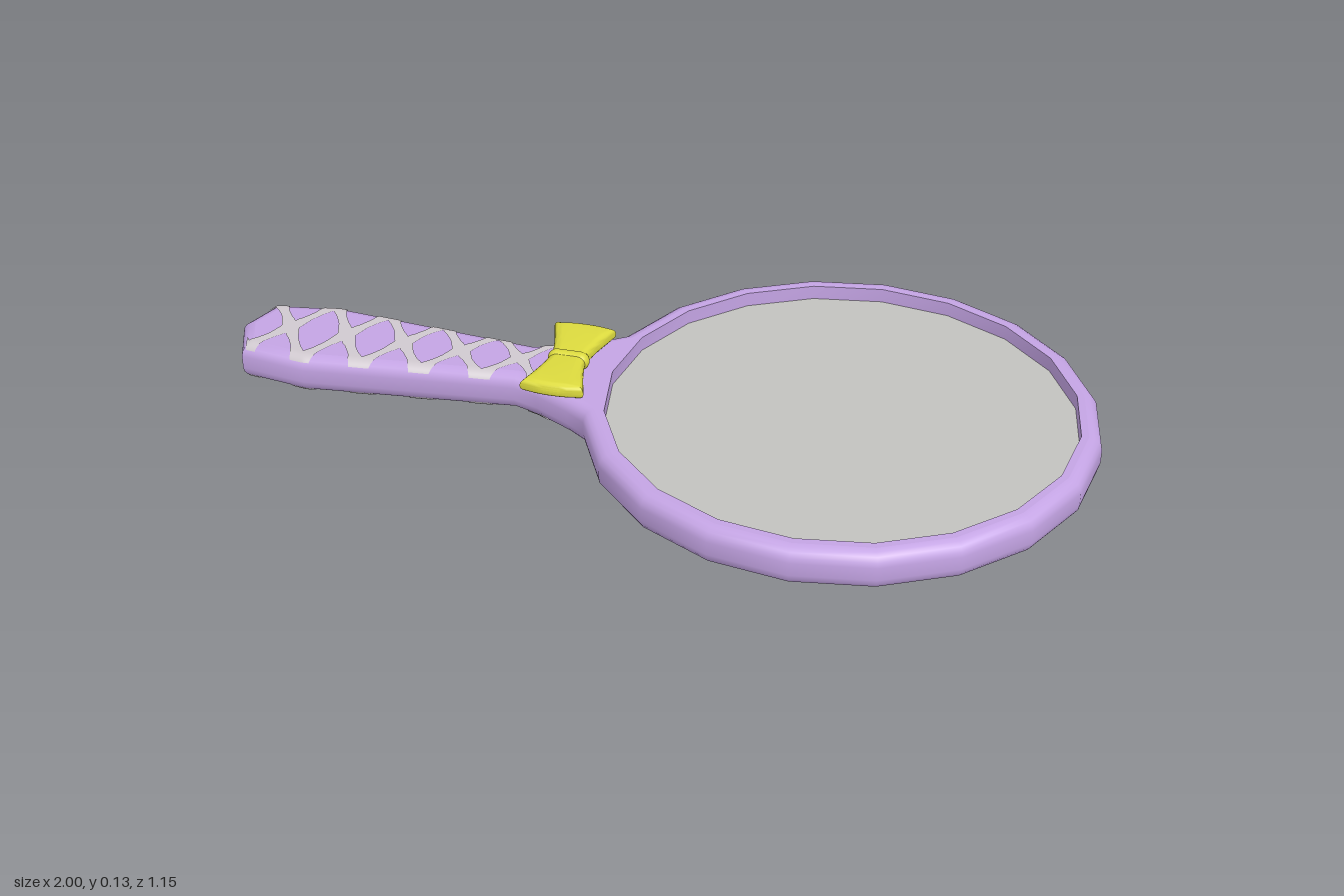
import * as THREE from 'three';
import { mergeGeometries, mergeVertices, toCreasedNormals } from 'three/addons/utils/BufferGeometryUtils.js';

const purple = new THREE.MeshStandardMaterial({ color: 0xc4a4e4 });
const silver = new THREE.MeshStandardMaterial({ color: 0xc2c2be });
const netGrey = new THREE.MeshStandardMaterial({ color: 0xd0c9cf, side: THREE.DoubleSide });
const yellow = new THREE.MeshStandardMaterial({ color: 0xdcda3e });
purple.name = 'purple'; silver.name = 'silver'; netGrey.name = 'net grey'; yellow.name = 'yellow';

const HEIGHT = 0.09, ROUND = 0.03, GLASS_Y = 0.056;
const HEAD_X = 0.426, HEAD_R = 0.573, GLASS_R = 0.526, SIDES = 20;
// Handle half widths [x, w], from the head to the tip
const HANDLE = [[-0.165, 0.145], [-0.25, 0.1], [-0.31, 0.08], [-0.8, 0.13], [-0.96, 0.105], [-1, 0]];

function mesh(name, geometry, material) {
  const m = new THREE.Mesh(geometry, material);
  m.name = name;
  return m;
}

function fromPositions(list) {
  const g = new THREE.BufferGeometry();
  g.setAttribute('position', new THREE.Float32BufferAttribute(list, 3));
  g.computeVertexNormals();
  return g;
}

// Outline seen from above, counter-clockwise, with w = -z
function outline() {
  const half = [];
  for (let i = 0; i < SIDES / 2; i++) {
    const a = (i / SIDES) * Math.PI * 2;
    half.push([HEAD_X + HEAD_R * Math.cos(a), HEAD_R * Math.sin(a)]);
  }
  half.push(...HANDLE);
  const mirrored = half.slice(1, -1).reverse().map(([x, w]) => [x, -w]);
  return [...half, ...mirrored].map(([x, w]) => new THREE.Vector2(x, w));
}

// Move every edge of a loop inward by d
function inset(loop, d) {
  const n = loop.length;
  const normal = (a, b) => new THREE.Vector2(a.y - b.y, b.x - a.x).normalize();
  return loop.map((p, i) => {
    const n1 = normal(loop[(i + n - 1) % n], p), n2 = normal(p, loop[(i + 1) % n]);
    return n1.clone().add(n2).multiplyScalar(d / (1 + n1.dot(n2))).add(p);
  });
}

// Band of faces between two matching loops
function band(out, lo, yLo, hi, yHi) {
  for (let i = 0; i < lo.length; i++) {
    const j = (i + 1) % lo.length;
    const a = [lo[i].x, yLo, -lo[i].y], b = [lo[j].x, yLo, -lo[j].y];
    const c = [hi[i].x, yHi, -hi[i].y], d = [hi[j].x, yHi, -hi[j].y];
    out.push(...a, ...b, ...d, ...a, ...d, ...c);
  }
}

function cap(loop, holes, y, up) {
  const pts = [loop, ...holes].flat(), out = [];
  for (const f of THREE.ShapeUtils.triangulateShape(loop, holes)) {
    const [a, b, c] = f.map((i) => pts[i]);
    const ccw = (b.x - a.x) * (c.y - a.y) - (b.y - a.y) * (c.x - a.x) > 0;
    for (const p of ccw === up ? [a, b, c] : [a, c, b]) out.push(p.x, y, -p.y);
  }
  return fromPositions(out);
}

// Frame and handle in one rounded slab with a round recess
function bodyGeometry() {
  const base = outline(), profile = [], shell = [];
  for (let i = 0; i <= 4; i++) {
    const a = (i / 4) * Math.PI / 2;
    profile.push([ROUND * (1 - Math.sin(a)), ROUND * (1 - Math.cos(a))]);
  }
  profile.push(...profile.slice().reverse().map(([d, y]) => [d, HEIGHT - y]));
  const loops = profile.map(([d]) => inset(base, d));
  for (let i = 1; i < loops.length; i++) band(shell, loops[i - 1], profile[i - 1][1], loops[i], profile[i][1]);

  const hole = Array.from({ length: SIDES }, (_, i) => {
    const a = -(i / SIDES) * Math.PI * 2;
    return new THREE.Vector2(HEAD_X + GLASS_R * Math.cos(a), GLASS_R * Math.sin(a));
  });
  const wall = [];
  band(wall, hole, GLASS_Y, hole, HEIGHT);
  return mergeGeometries([
    toCreasedNormals(fromPositions(shell), 0.6),
    toCreasedNormals(fromPositions(wall), 0.6),
    cap(loops[loops.length - 1], [hole], HEIGHT, true),
    cap(loops[0], [], 0, false),
  ]);
}

function halfWidth(x) {
  for (let i = 1; i < HANDLE.length; i++) {
    const [x1, w1] = HANDLE[i - 1], [x2, w2] = HANDLE[i];
    if (x >= x2) return w1 + (w2 - w1) * (x1 - x) / (x1 - x2);
  }
  return 0;
}

// Half length of a diamond spot at distance u from its middle
function spot(u) {
  const steps = [[0, 0.048], [0.35, 0.033], [0.6, 0.014], [0.72, 0]];
  for (let i = 1; i < steps.length; i++) {
    const [u1, h1] = steps[i - 1], [u2, h2] = steps[i];
    if (u <= u2) return h1 + (h2 - h1) * (u - u1) / (u2 - u1);
  }
  return 0;
}

// Thin net lying on the handle, open where the diamond spots are
function netGeometry(top) {
  const ROWS = 36, COLS = 4, out = [];
  const point = (x, s) => {
    const tip = -0.985 + 0.38 * Math.abs(s) * 0.1;
    x = THREE.MathUtils.clamp(x, tip, -0.21);
    const z = s * Math.max(halfWidth(x), 0.09 * (x < -0.9 ? 1 : 0));
    const edge = Math.min(halfWidth(x) - Math.abs(z), x + 1 - 0.38 * Math.abs(z));
    const k = ROUND - THREE.MathUtils.clamp(edge, 0, ROUND);
    const y = HEIGHT - ROUND + Math.sqrt(ROUND * ROUND - k * k) + 0.002;
    return [x, top ? y : HEIGHT - y, z];
  };
  const size = (k, s) => spot(k % 2 ? 1 - Math.abs(s) : Math.abs(s));
  const row = (j) => 0.96 * Math.sin((j / ROWS - 0.5) * Math.PI);
  for (let k = -1; k < 11; k++) {
    const c = -0.95 + 0.07 * k;
    const at = (i, s) => {
      const from = c + size(Math.abs(k), s), to = c + 0.07 - size(Math.abs(k + 1), s);
      return point(from + (to - from) * i / COLS, s);
    };
    for (let j = 0; j < ROWS; j++) {
      for (let i = 0; i < COLS; i++) {
        const a = at(i, row(j)), b = at(i + 1, row(j));
        const d = at(i, row(j + 1)), e = at(i + 1, row(j + 1));
        if (Math.abs(a[0] - b[0]) + Math.abs(d[0] - e[0]) < 1e-6) continue;
        if (top) out.push(...a, ...d, ...e, ...a, ...e, ...b);
        else out.push(...a, ...e, ...d, ...a, ...b, ...e);
      }
    }
  }
  const g = fromPositions(out);
  g.deleteAttribute('normal');
  const welded = mergeVertices(g, 1e-5);
  welded.computeVertexNormals();
  return welded;
}

// One flared, puffy loop of the bow
function bowLoopGeometry() {
  const s = new THREE.Shape();
  s.moveTo(-0.022, 0);
  s.lineTo(0.022, 0);
  s.quadraticCurveTo(0.03, 0.06, 0.052, 0.122);
  s.quadraticCurveTo(0, 0.132, -0.052, 0.122);
  s.quadraticCurveTo(-0.03, 0.06, -0.022, 0);
  const g = new THREE.ExtrudeGeometry(s, {
    depth: 0.004, bevelSize: 0.018, bevelThickness: 0.015, bevelSegments: 5, curveSegments: 6,
  });
  g.rotateX(Math.PI / 2);
  return toCreasedNormals(g, 0.7);
}

export function createModel() {
  const model = new THREE.Group();
  model.name = 'handMirror';
  model.add(mesh('frameAndHandle', bodyGeometry(), purple));

  const glass = mesh('mirrorGlass', new THREE.CircleGeometry(GLASS_R, SIDES).rotateX(-Math.PI / 2), silver);
  glass.position.set(HEAD_X, GLASS_Y, 0);
  model.add(glass);

  model.add(mesh('handleNetTop', netGeometry(true), netGrey));
  model.add(mesh('handleNetBottom', netGeometry(false), netGrey));

  // Bow: two loops and a knot
  const bow = new THREE.Group();
  bow.name = 'bow';
  bow.position.set(-0.203, 0.107, 0);
  for (const side of [0, 1]) {
    const loop = mesh(side ? 'bowLoopBack' : 'bowLoopFront', bowLoopGeometry(), yellow);
    loop.position.y = 0.002;
    loop.rotation.y = side * Math.PI;
    bow.add(loop);
  }
  const knot = mesh('bowKnot', new THREE.CapsuleGeometry(0.021, 0.055, 6, 16).rotateZ(Math.PI / 2), yellow);
  bow.add(knot);
  model.add(bow);
  return model;
}
